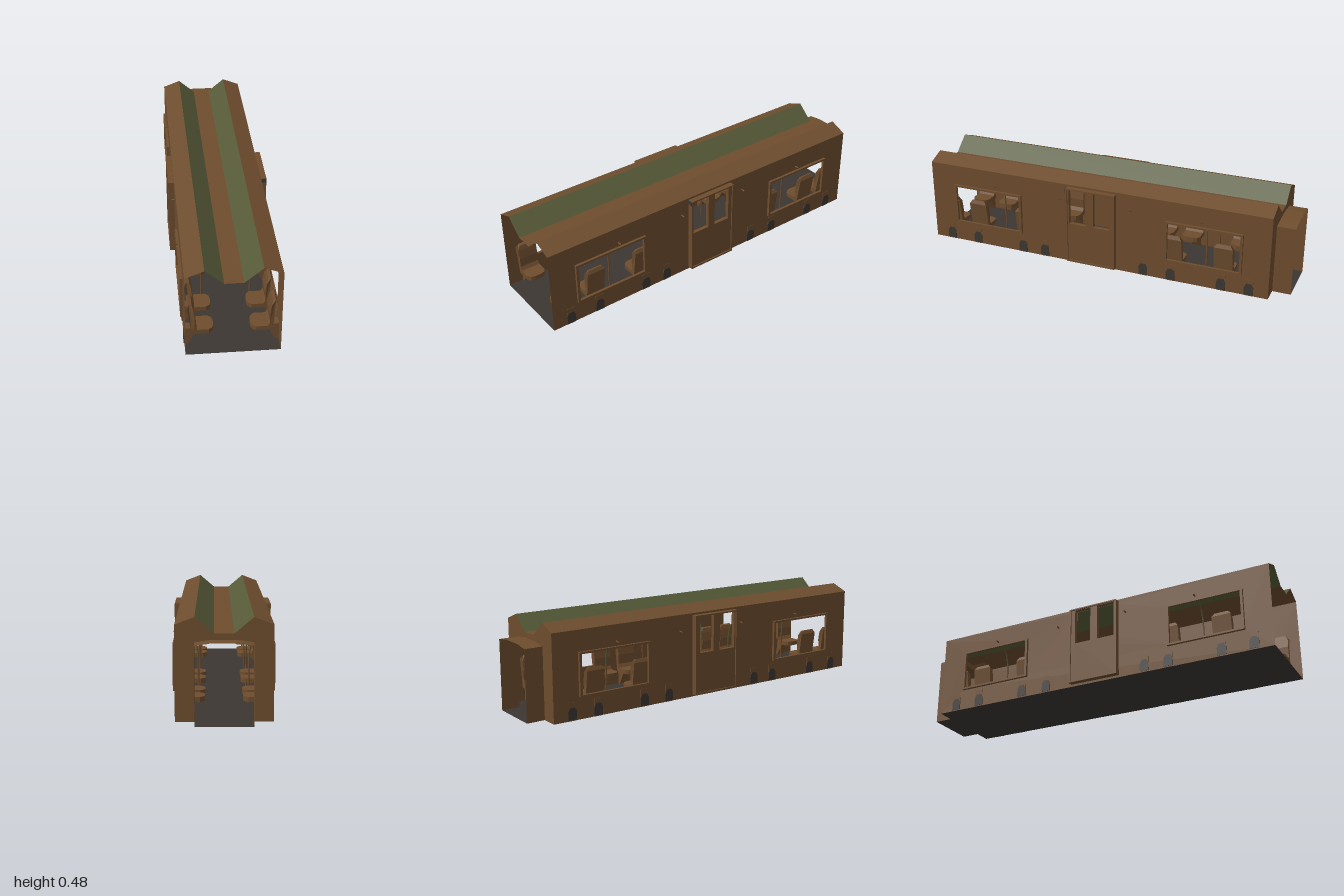
import * as THREE from 'three';

const mat = (name, color) => {
  const m = new THREE.MeshStandardMaterial({ color, side: THREE.DoubleSide });
  m.name = name;
  return m;
};

export function createModel() {
  const brown = mat('brown', 0x6e4d2e);
  const olive = mat('olive', 0x565a38);
  const grey = mat('dark grey', 0x3c3732);
  const W = 0.223, BACK = -0.905, BASE = 0.003;
  const model = new THREE.Group();
  model.name = 'railCarriage';

  const add = (parent, name, geo, material) => {
    const m = new THREE.Mesh(geo, material);
    m.name = name;
    parent.add(m);
    return m;
  };
  const polygon = (pts) => new THREE.Shape(pts.map(([x, y]) => new THREE.Vector2(x, y)));
  // Rectangle in the side plane, given as z and y ranges
  const rect = (z0, z1, y0, y1) => polygon([[-z1, y0], [-z0, y0], [-z0, y1], [-z1, y1]]);
  const withHoles = (shape, holes) => { shape.holes.push(...holes); return shape; };
  // Slab lying on the side wall between two x positions
  const sideSlab = (shape, x0, x1) =>
    new THREE.ExtrudeGeometry(shape, { depth: x1 - x0, bevelEnabled: false })
      .rotateY(Math.PI / 2).translate(x0, 0, 0);
  // Open sheet: an x,y profile, running from +x to -x, swept along z
  const sheet = (pts, z0, z1) => {
    const p = [];
    for (let i = 0; i < pts.length - 1; i++) {
      const [a, b] = pts[i], [c, d] = pts[i + 1];
      p.push(a, b, z1, a, b, z0, c, d, z0, a, b, z1, c, d, z0, c, d, z1);
    }
    const g = new THREE.BufferGeometry();
    g.setAttribute('position', new THREE.Float32BufferAttribute(p, 3));
    g.computeVertexNormals();
    return g;
  };
  // x,y profile extruded along z, centred on z = 0
  const across = (pts, width) =>
    new THREE.ExtrudeGeometry(polygon(pts), { depth: width, bevelEnabled: false })
      .translate(0, 0, -width / 2);

  // Floor, roof valley, gangway and end wall
  add(model, 'floor', sheet([[W, BASE], [-W, BASE]], BACK, 1), grey);
  add(model, 'gangwayFloor', sheet([[0.133, BASE], [-0.133, BASE]], -1, BACK), grey);
  add(model, 'roofValley', sheet([[0.045, 0.405], [-0.045, 0.405]], BACK, 1), brown);
  const arch = [[0.133, BASE], [0.133, 0.366], [0.06, 0.377], [-0.06, 0.377], [-0.133, 0.366], [-0.133, BASE]];
  add(model, 'gangway', sheet(arch, -1, BACK), brown);
  const end = polygon([[W, BASE], [W, 0.445], [0.133, 0.48], [0.045, 0.405],
    [-0.045, 0.405], [-0.133, 0.48], [-W, 0.445], [-W, BASE], ...arch.slice().reverse()]);
  add(model, 'endWall', new THREE.ShapeGeometry(end).rotateY(Math.PI).translate(0, 0, BACK), brown);

  // Seat parts
  const backGeo = across([[0.19, 0.09], [0.21, 0.23], [0.202, 0.249], [0.188, 0.245],
    [0.181, 0.222], [0.173, 0.175], [0.176, 0.125], [0.165, 0.105]], 0.1);
  const bp = backGeo.attributes.position;
  for (let i = 0; i < bp.count; i++) {
    if (bp.getY(i) > 0.235) bp.setZ(i, bp.getZ(i) * 0.72);
  }
  backGeo.computeVertexNormals();
  const cushionShape = polygon([[0.19, -0.05], [0.19, 0.05], [0.11, 0.05], [0.094, 0.038],
    [0.087, 0.018], [0.087, -0.018], [0.094, -0.038], [0.11, -0.05]]);
  const cushionGeo = new THREE.ExtrudeGeometry(cushionShape, { depth: 0.023, bevelEnabled: false })
    .rotateX(-Math.PI / 2).translate(0, 0.083, 0);
  const legGeo = across([[0.225, BASE], [0.225, 0.095], [0.19, 0.092], [0.14, 0.083],
    [0.175, 0.065], [0.205, 0.005]], 0.045);

  // Grab pole: floor upright, bend and wall end
  const v = (x, y) => new THREE.Vector3(x, y, 0);
  const upright = new THREE.TubeGeometry(new THREE.LineCurve3(v(0.12, 0.008), v(0.122, 0.22)), 1, 0.004, 8);
  const bend = new THREE.TubeGeometry(
    new THREE.CatmullRomCurve3([v(0.122, 0.22), v(0.128, 0.28), v(0.145, 0.325), v(0.17, 0.349), v(0.2, 0.359)]),
    14, 0.004, 8);
  const wallEnd = new THREE.TubeGeometry(new THREE.LineCurve3(v(0.2, 0.359), v(0.24, 0.36)), 1, 0.004, 8);

  const windows = [[0.455, 0.86], [-0.765, -0.358]];
  const doorPanes = [[0.07, 0.167], [-0.06, 0.03]];
  const seats = [0.9, 0.735, 0.455, 0.325, -0.24, -0.39, -0.66, -0.805];
  const poles = [0.61, 0.225, -0.17, -0.55];

  const buildSide = (name) => {
    const side = new THREE.Group();
    side.name = name;
    model.add(side);
    add(side, 'roofShoulder', sheet([[W, 0.445], [0.133, 0.48]], BACK, 1), brown);
    add(side, 'roofInnerSlope', sheet([[0.133, 0.48], [0.045, 0.405]], BACK, 1), olive);

    // Wall with window and door openings
    const openings = windows.map(([a, b]) => rect(a + 0.013, b - 0.013, 0.125, 0.327));
    const panes = () => doorPanes.map(([a, b]) => rect(a, b, 0.235, 0.426));
    const wall = withHoles(rect(BACK, 1, BASE, 0.445), [...openings, ...panes()]);
    add(side, 'wall', new THREE.ShapeGeometry(wall).rotateY(Math.PI / 2).translate(W, 0, 0), brown);

    // Raised window frames
    windows.forEach(([a, b]) => {
      const ring = withHoles(rect(a, b, 0.115, 0.337), [rect(a + 0.013, b - 0.013, 0.125, 0.327)]);
      add(side, 'windowFrame', sideSlab(ring, W, 0.237), brown);
    });

    // Sliding doors in a surround
    const surround = withHoles(rect(-0.09, 0.183, 0.015, 0.435), [rect(-0.082, 0.175, 0.024, 0.428)]);
    add(side, 'doorSurround', sideSlab(surround, W, 0.253), brown);
    const leaf = withHoles(rect(-0.084, 0.177, 0.022, 0.43), panes());
    add(side, 'doorLeaves', sideSlab(leaf, W + 0.002, 0.246), brown);

    // Seats facing the aisle, with their mounts outside the wall
    seats.forEach((z) => {
      const seat = new THREE.Group();
      seat.name = 'seat';
      seat.position.z = z;
      side.add(seat);
      add(seat, 'backrest', backGeo, brown);
      add(seat, 'cushion', cushionGeo, brown);
      add(seat, 'seatLeg', legGeo, brown);
      const mount = polygon([[-0.024, 0.008], [0.024, 0.008], [0.024, 0.05], [0.013, 0.07], [-0.013, 0.07], [-0.024, 0.05]]);
      add(seat, 'seatMount', sideSlab(mount, W, 0.227), grey);
    });

    poles.forEach((z) => {
      const pole = new THREE.Group();
      pole.name = 'grabPole';
      pole.position.z = z;
      side.add(pole);
      add(pole, 'poleUpright', upright, brown);
      add(pole, 'poleBend', bend, olive);
      add(pole, 'poleWallEnd', wallEnd, brown);
    });
    return side;
  };

  const left = buildSide('leftSide');
  buildSide('rightSide').scale.x = -1;

  // Dark cap at the top front edge of the left door
  add(left, 'doorCap', new THREE.BoxGeometry(0.03, 0.022, 0.004).translate(0.238, 0.424, 0.184), grey);
  return model;
}
